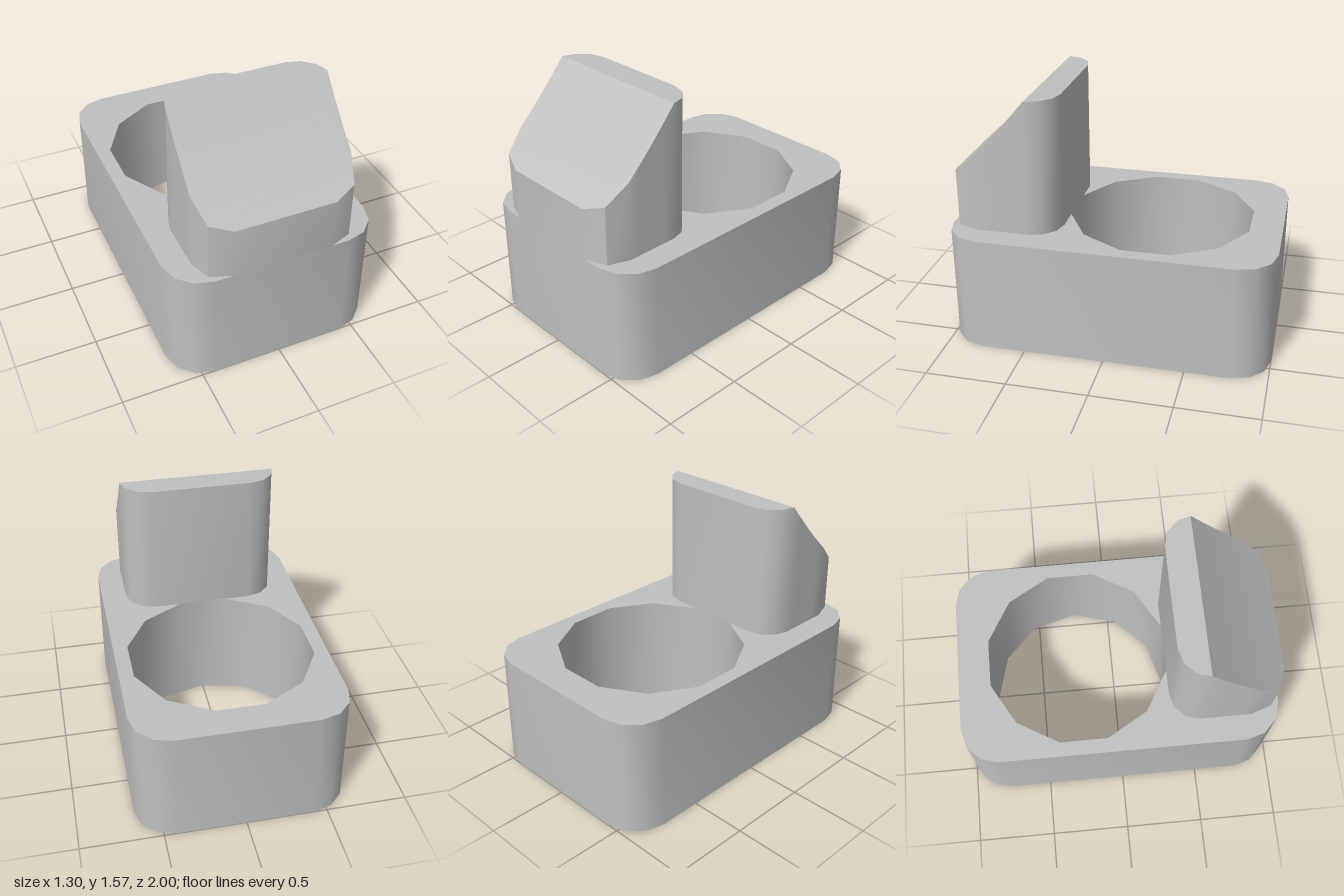
import * as THREE from 'three';
import { toCreasedNormals } from 'three/addons/utils/BufferGeometryUtils.js';

const W = 0.65, L = 1, H = 0.73, R = 0.23;   // base half width, half length, height, corner radius
const HOLE_R = 0.58, HOLE_Z = -0.24, SIDES = 12;

// Collects triangles and quads (corners counter-clockwise from outside)
function builder() {
  const p = [];
  const tri = (a, b, c) => p.push(...a, ...b, ...c);
  const quad = (a, b, c, d) => { tri(a, b, c); tri(a, c, d); };
  const build = (crease) => {
    const g = new THREE.BufferGeometry();
    g.setAttribute('position', new THREE.Float32BufferAttribute(p, 3));
    g.computeVertexNormals();
    return toCreasedNormals(g, crease);
  };
  return { tri, quad, build };
}

// Rounded rectangle outline with three facets per corner
function baseOutline() {
  const pts = [];
  [[1, 1], [-1, 1], [-1, -1], [1, -1]].forEach(([sx, sy], k) => {
    for (let i = 0; i <= 3; i++) {
      const a = (k + i / 3) * Math.PI / 2;
      pts.push(new THREE.Vector2(sx * (W - R) + R * Math.cos(a), sy * (L - R) + R * Math.sin(a)));
    }
  });
  return pts;
}

// Twelve-sided ring; phase is in steps
function holeRing(cy, phase) {
  return Array.from({ length: SIDES }, (_, i) => {
    const a = (i + phase) / SIDES * Math.PI * 2;
    return new THREE.Vector2(HOLE_R * Math.cos(a), cy + HOLE_R * Math.sin(a));
  });
}

function baseCap(top) {
  const shape = new THREE.Shape(baseOutline());
  shape.holes.push(new THREE.Path(holeRing(top ? -HOLE_Z : HOLE_Z, top ? 0.5 : 0)));
  const g = new THREE.ShapeGeometry(shape);
  g.rotateX(top ? -Math.PI / 2 : Math.PI / 2);
  return g.translate(0, top ? H : 0, 0);
}

function baseWall() {
  const { quad, build } = builder();
  const o = baseOutline();
  o.forEach((a, i) => {
    const b = o[(i + 1) % o.length];
    quad([a.x, 0, a.y], [a.x, H, a.y], [b.x, H, b.y], [b.x, 0, b.y]);
  });
  return build(0.7);
}

// Bore whose top and bottom rings are offset by half a step
function holeWall() {
  const { tri, build } = builder();
  const lo = holeRing(HOLE_Z, 0).map(v => [v.x, 0, v.y]);
  const hi = holeRing(HOLE_Z, 0.5).map(v => [v.x, H, v.y]);
  for (let i = 0; i < SIDES; i++) {
    const j = (i + 1) % SIDES;
    tri(lo[i], lo[j], hi[i]);
    tri(hi[i], lo[j], hi[j]);
  }
  return build(0.7);
}

// Upright block with rounded corners and a hollowed slope down to the front
function blockGeometry() {
  const { quad, build } = builder();
  const height = z => {
    const t = Math.max(0, (z - 0.49) / 0.51);
    return 1.57 - 0.52 * t - 0.1 * t * (1 - t);
  };
  // z and half width of each cross-section, front to back
  const rows = [[1, 0.31], [0.95, 0.445], [0.82, 0.49], [0.74, 0.49], [0.65, 0.49], [0.57, 0.49],
    [0.49, 0.49], [0.41, 0.466], [0.344, 0.4], [0.32, 0.31]]
    .map(([z, w]) => ({ z, w, h: height(z) }));
  const lo = (r, s) => [s * r.w, H, r.z];
  const hi = (r, s) => [s * r.w, r.h, r.z];
  for (let i = 0; i < rows.length - 1; i++) {
    const a = rows[i], b = rows[i + 1];
    quad(hi(a, -1), hi(a, 1), hi(b, 1), hi(b, -1));
    quad(lo(a, 1), lo(b, 1), hi(b, 1), hi(a, 1));
    quad(lo(b, -1), lo(a, -1), hi(a, -1), hi(b, -1));
  }
  const f = rows[0], k = rows[rows.length - 1];
  quad(lo(f, -1), lo(f, 1), hi(f, 1), hi(f, -1));
  quad(lo(k, 1), lo(k, -1), hi(k, -1), hi(k, 1));
  return build(0.8);
}

export function createModel() {
  const grey = new THREE.MeshStandardMaterial({ color: 0xc0c0c0 });
  grey.name = 'light grey';
  const model = new THREE.Group();
  model.name = 'clampBlock';
  const base = new THREE.Group();
  base.name = 'base';
  model.add(base);
  const add = (parent, name, geometry) => {
    const m = new THREE.Mesh(geometry, grey);
    m.name = name;
    parent.add(m);
  };
  add(base, 'baseTop', baseCap(true));
  add(base, 'baseBottom', baseCap(false));
  add(base, 'baseWall', baseWall());
  add(base, 'holeWall', holeWall());
  add(model, 'slopedBlock', blockGeometry());
  return model;
}
